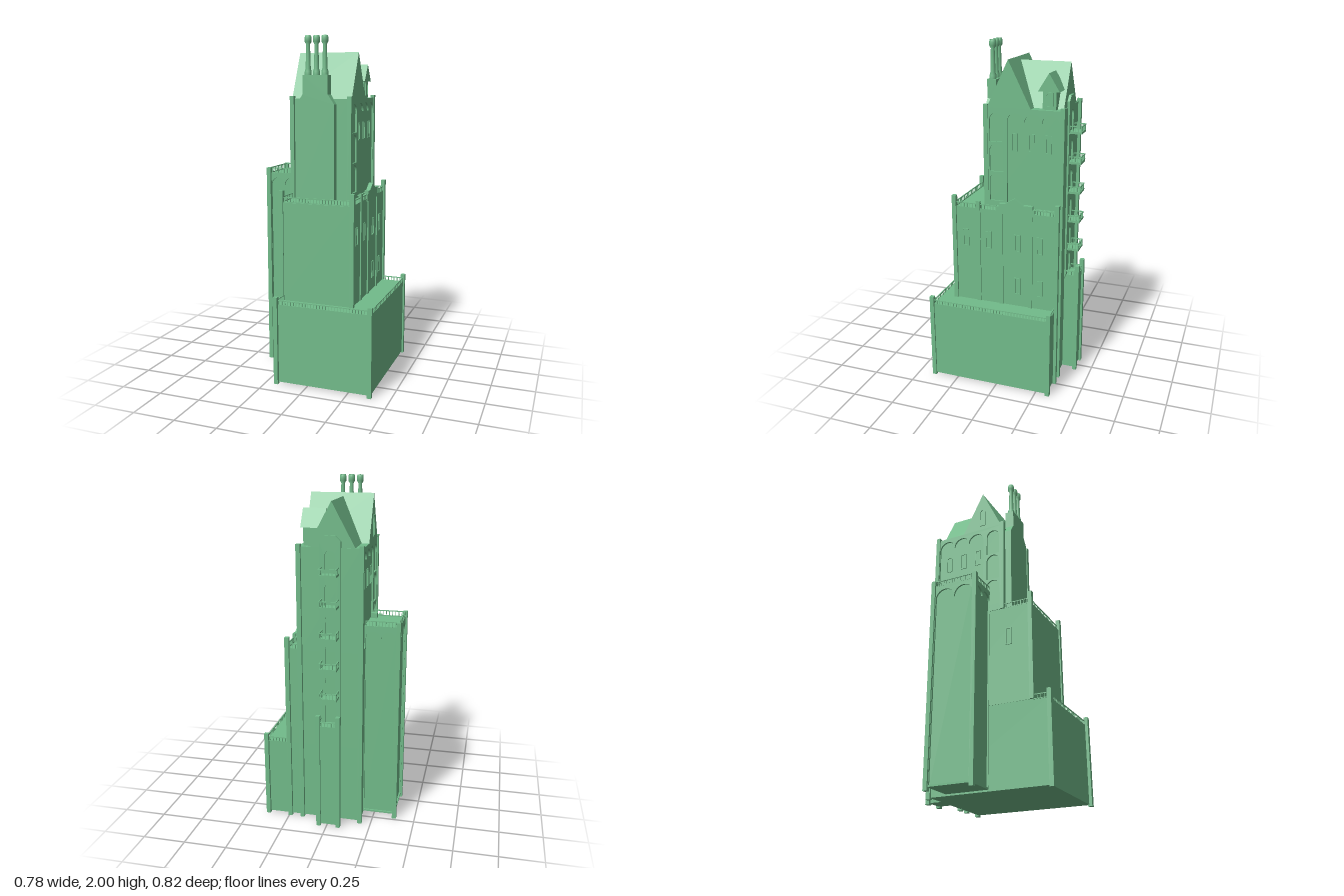
import * as THREE from 'three';
import { mergeGeometries } from 'three/addons/utils/BufferGeometryUtils.js';

const green = new THREE.MeshStandardMaterial({ color: 0x72bb8a, flatShading: true });
const smoothGreen = new THREE.MeshStandardMaterial({ color: 0x72bb8a, side: THREE.DoubleSide });

// Wall directions: rotation about y, and sign from world x or z to the wall's own horizontal axis
const DIRS = {
  front: [0, 1], back: [Math.PI, -1], right: [-Math.PI / 2, 1], left: [Math.PI / 2, -1],
};

export function createModel() {
  const model = new THREE.Group();
  const add = (name, geo, mat = green) => {
    const mesh = new THREE.Mesh(geo, mat);
    mesh.name = name;
    model.add(mesh);
    return mesh;
  };

  // Box given by its limits
  const boxGeo = (x0, x1, y0, y1, z0, z1) =>
    new THREE.BoxGeometry(x1 - x0, y1 - y0, z1 - z0)
      .translate((x0 + x1) / 2, (y0 + y1) / 2, (z0 + z1) / 2);
  const box = (name, ...limits) => add(name, boxGeo(...limits));

  // Shape pushed outward from a plane at distance "offset" along a wall direction
  const push = (name, shape, dir, offset, depth) => {
    const geo = new THREE.ExtrudeGeometry(shape, { depth, bevelEnabled: false, curveSegments: 10 });
    return add(name, geo.translate(0, 0, offset).rotateY(DIRS[dir][0]));
  };
  const polygon = (points, dir) =>
    new THREE.Shape(points.map(([u, v]) => new THREE.Vector2(u * DIRS[dir][1], v)));

  // Flat facing with openings [from, to, low, high, number of arch heads]
  const panel = (name, dir, offset, depth, from, to, low, high, openings) => {
    const sign = DIRS[dir][1];
    const sorted = (a, b) => [a * sign, b * sign].sort((p, q) => p - q);
    const [u0, u1] = sorted(from, to);
    const shape = new THREE.Shape().moveTo(u0, low).lineTo(u1, low).lineTo(u1, high).lineTo(u0, high);
    for (const [a, b, lo, hi, arches] of openings) {
      const [p, q] = sorted(a, b);
      const hole = new THREE.Path().moveTo(p, lo).lineTo(q, lo);
      if (arches) {
        const r = (q - p) / (2 * arches);
        hole.lineTo(q, hi - r);
        for (let i = 0; i < arches; i++) hole.absarc(q - r * (2 * i + 1), hi - r, r, 0, Math.PI, false);
      } else hole.lineTo(q, hi).lineTo(p, hi);
      shape.holes.push(hole);
    }
    push(name, shape, dir, offset, depth);
  };

  const window = (dir, offset, centre, low, high, w = 0.019, arches = 0) =>
    panel('windowFrame', dir, offset, 0.005, centre - w, centre + w, low, high,
      [[centre - w + 0.006, centre + w - 0.006, low + 0.006, high - 0.006, arches]]);

  const post = (x, z, y0, y1) =>
    box('cornerPost', x - 0.0125, x + 0.0125, y0, y1, z - 0.0125, z + 0.0125);

  // Row of balusters with bottom and top rails along the path of points [x, z]
  const balustrade = (y, h, ...path) => {
    const parts = [];
    for (let i = 1; i < path.length; i++) {
      const [[ax, az], [bx, bz]] = [path[i - 1], path[i]];
      const n = Math.max(2, Math.round(Math.hypot(bx - ax, bz - az) / 0.018));
      for (const v of [y, y + h - 0.005])
        parts.push(boxGeo(Math.min(ax, bx) - 0.003, Math.max(ax, bx) + 0.003, v, v + 0.005,
          Math.min(az, bz) - 0.003, Math.max(az, bz) + 0.003));
      for (let k = 0; k <= n; k++) {
        const x = ax + (bx - ax) * k / n, z = az + (bz - az) * k / n;
        parts.push(boxGeo(x - 0.002, x + 0.002, y, y + h, z - 0.002, z + 0.002));
      }
    }
    add('balustrade', mergeGeometries(parts));
  };

  // Lowest block
  box('podium', -0.185, 0.385, 0.01, 0.48, -0.32, 0.395);
  for (const [x, z] of [[-0.185, 0.4], [0.382, 0.4], [0.382, -0.325]]) post(x, z, 0, 0.525);
  balustrade(0.475, 0.03, [-0.185, 0.31], [-0.185, 0.39], [0.382, 0.39], [0.382, -0.318], [0.25, -0.318]);

  // Middle block
  box('middleBlock', -0.187, 0.245, 0.48, 1.06, -0.32, 0.305);
  for (const [x, z] of [[-0.185, 0.3], [0.243, 0.3]]) post(x, z, 0.48, 1.13);
  for (const z of [0.15, 0.01, -0.17]) box('pilaster', 0.235, 0.252, 0.48, 1.11, z - 0.012, z + 0.012);
  post(0.243, -0.325, 0, 1.13);
  balustrade(1.06, 0.032, [-0.185, 0.13], [-0.185, 0.295], [0.243, 0.295], [0.243, 0.04]);
  balustrade(1.06, 0.032, [0.243, -0.19], [0.243, -0.318], [0.18, -0.318]);
  push('parapetGable', polygon([[0.04, 1.05], [0.04, 1.09], [0.015, 1.09], [0.015, 1.11], [-0.015, 1.11],
    [-0.07, 1.145], [-0.125, 1.11], [-0.165, 1.11], [-0.165, 1.09], [-0.19, 1.09], [-0.19, 1.05]], 'left'),
  'left', 0.225, 0.025);
  for (const z of [0.23, 0.09, -0.09, -0.225]) window('left', 0.245, z, 0.825, 0.93);
  for (const z of [-0.09, -0.225]) window('left', 0.245, z, 0.555, 0.66);
  window('right', 0.187, 0.165, 0.825, 0.93);

  // Upper block: arcade and stacked niches on both sides
  box('upperBlock', -0.18, 0.165, 1.06, 1.645, -0.32, 0.12);
  for (const [dir, offset] of [['left', 0.165], ['right', 0.18]]) {
    panel('arcadeFacing', dir, offset, 0.01, -0.32, 0.12, 1.06, 1.645, [
      [-0.31, -0.003, 1.07, 1.62, 3],
      ...[1.1, 1.275, 1.45].map((y) => [0.02, 0.103, y, y + 0.165, 1]),
    ]);
    for (const z of [-0.045, -0.145, -0.245]) window(dir, offset, z, 1.4, 1.505);
  }
  for (const x of [-0.185, 0.167]) {
    post(x, 0.125, 1.06, 1.66);
    post(x, -0.325, 0, 1.66);
  }

  // Crossing gabled roofs
  push('mainRoof', polygon([[0.118, 1.64], [-0.01, 1.91], [-0.145, 1.64]], 'left'), 'left', -0.19, 0.365);
  push('crossRoof', polygon([[-0.15, 1.64], [-0.015, 1.89], [0.12, 1.64]], 'back'), 'back', 0.01, 0.305);
  window('right', 0.19, -0.01, 1.67, 1.79, 0.02, 1);

  // Dormer on the side of the roof
  box('dormerBody', 0.04, 0.15, 1.64, 1.76, -0.28, -0.203);
  push('dormerRoof', polygon([[-0.178, 1.745], [-0.24, 1.845], [-0.302, 1.745]], 'left'), 'left', 0.03, 0.13);
  window('left', 0.15, -0.241, 1.66, 1.74, 0.022, 1);

  // Chimney breast with sloping shoulders, and three hollow pots
  push('chimneyBreast', polygon([[-0.145, 1.06], [0.085, 1.06], [0.085, 1.615], [0.047, 1.67], [0.047, 1.78],
    [-0.107, 1.78], [-0.107, 1.67], [-0.145, 1.615]], 'front'), 'front', 0.108, 0.055);
  const pot = [[0.02, 1.78], [0.02, 1.8], [0.015, 1.815], [0.011, 1.95], [0.02, 1.965], [0.02, 1.985],
    [0.017, 2], [0.012, 2], [0.011, 1.95], [0, 1.95]].map(([r, y]) => new THREE.Vector2(r, y));
  for (const x of [-0.081, -0.03, 0.021])
    add('chimneyPot', new THREE.LatheGeometry(pot, 16).translate(x, 0, 0.137), smoothGreen);

  // Side wing with arched facings
  box('sideWing', -0.37, -0.18, 0.02, 1.19, -0.21, 0.03);
  panel('wingFacing', 'front', 0.03, 0.01, -0.38, -0.185, 0.02, 1.19, [[-0.365, -0.19, 0.03, 1.165, 2]]);
  panel('wingFacing', 'back', 0.21, 0.01, -0.38, -0.185, 0.02, 1.19, [[-0.365, -0.19, 0.03, 1.165, 2]]);
  panel('wingFacing', 'right', 0.37, 0.01, -0.22, 0.04, 0.02, 1.19, [[-0.212, 0.032, 0.03, 1.165, 2]]);
  for (const z of [-0.225, 0.045]) post(-0.378, z, 0, 1.225);
  balustrade(1.19, 0.035, [-0.19, 0.036], [-0.378, 0.036], [-0.378, -0.217], [-0.19, -0.217]);
  box('terraceStep', -0.22, -0.185, 1.19, 1.22, -0.03, 0.01);

  // Rear bay with its terrace
  box('rearBay', -0.065, 0.045, 0.01, 0.63, -0.4, -0.31);
  for (const x of [-0.068, 0.048]) post(x, -0.4, 0, 0.7);
  balustrade(0.63, 0.032, [-0.065, -0.33], [-0.065, -0.397], [0.045, -0.397], [0.045, -0.33]);

  // Rear strip with arched doorways and a balcony at each floor
  const floors = [0.79, 0.967, 1.143, 1.32, 1.496];
  panel('rearStrip', 'back', 0.315, 0.015, -0.07, 0.05, 0.62, 1.68,
    [0.632, ...floors.map((y) => y + 0.008)].map((y) => [-0.04, 0.02, y, y + 0.125, 1]));
  push('rearStripCap', polygon([[-0.07, 1.68], [0.05, 1.68], [0.02, 1.71], [-0.04, 1.71]], 'back'), 'back', 0.315, 0.015);
  for (const y of floors) {
    box('balconyFloor', -0.06, 0.04, y, y + 0.008, -0.4, -0.32);
    balustrade(y + 0.008, 0.037, [-0.057, -0.33], [-0.057, -0.397], [0.037, -0.397], [0.037, -0.33]);
  }
  return model;
}
